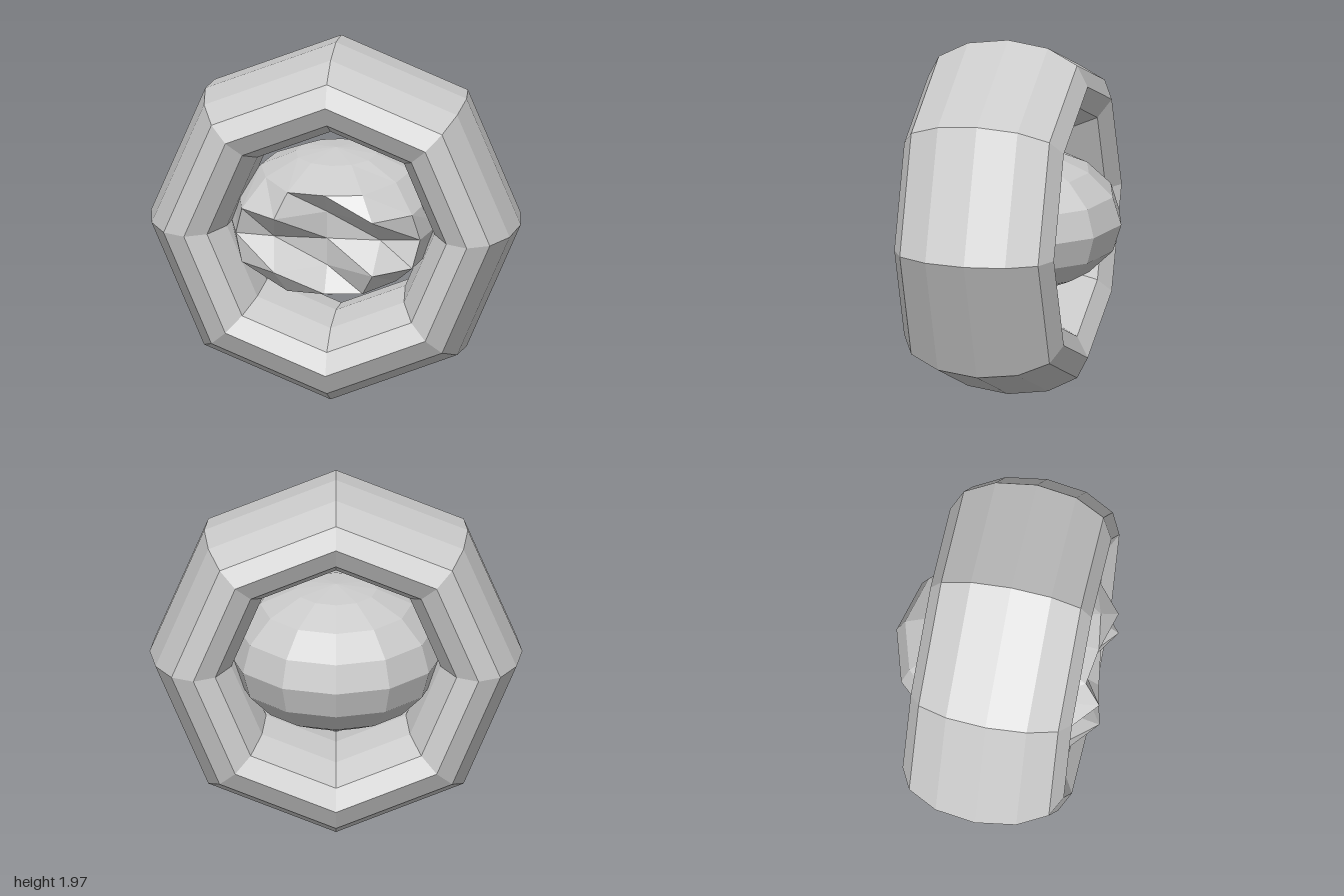
import * as THREE from 'three';

const material = new THREE.MeshStandardMaterial({ color: 0xcccccc, flatShading: true });
const CENTRE_Y = 0.995;

// Eight-sided ring, stretched along its axis
function makeRing() {
  const geo = new THREE.TorusGeometry(0.765, 0.235, 12, 8);
  geo.scale(0.998, 0.987, 0.44 / 0.235);
  const ring = new THREE.Mesh(geo, material);
  ring.name = 'outerRing';
  ring.position.set(0, CENTRE_Y, 0.04);
  return ring;
}

// Low-poly ball whose front is pinched into two jagged lips around a mouth
function makeCore() {
  // z of the reshaped front corners: rows go from the equator outward,
  // columns from the middle to the sides; mirrored both ways
  const frontDepth = [
    [0.4, 0.4, 0.37],
    [0.4, 0.575, 0.41],
    [0.52, 0.49],
  ];
  const geo = new THREE.SphereGeometry(1, 12, 8);
  const pos = geo.attributes.position;
  for (let i = 0; i < pos.count; i++) {
    const x = pos.getX(i), y = pos.getY(i), z = pos.getZ(i);
    const row = Math.round(Math.abs(Math.asin(THREE.MathUtils.clamp(y, -1, 1))) / (Math.PI / 8));
    const col = Math.round(Math.atan2(Math.abs(x), z) / (Math.PI / 6));
    const depth = frontDepth[row]?.[col] ?? 0.03 + z * 0.615;
    pos.setXYZ(i, x * 0.575, y * 0.392, depth);
  }
  const flat = geo.toNonIndexed();
  flat.computeVertexNormals();
  const core = new THREE.Mesh(flat, material);
  core.name = 'coreWithMouth';
  core.position.y = CENTRE_Y;
  return core;
}

export function createModel() {
  const model = new THREE.Group();
  model.name = 'ringedCore';
  model.add(makeRing(), makeCore());
  return model;
}
